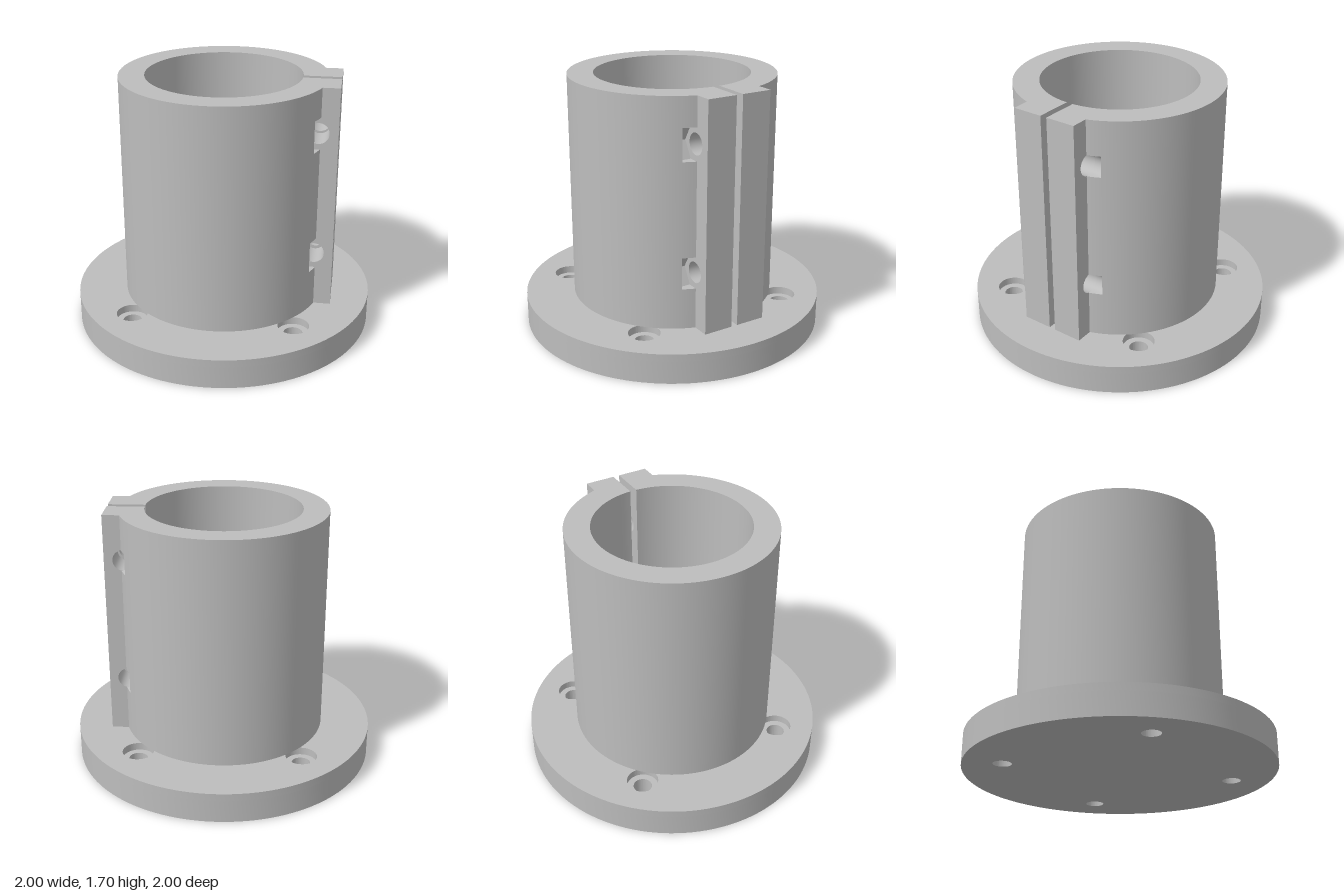
import * as THREE from 'three';
import { toCreasedNormals } from 'three/addons/utils/BufferGeometryUtils.js';

const R_OUT = 0.675, R_IN = 0.507, BASE_H = 0.2, TOP = 1.7;
const SLIT = 0.022, EAR_Z = 0.22, POCKET_Z = 0.3, EAR_X = 0.75;
const BOLT_X = 0.625, BOLT_R = 0.069, BOLT_YS = [0.576, 1.404];
const INNER = 0.46, OUTER = 0.62; // edges that get bent onto the inner and outer cylinders

export function createModel() {
  const model = new THREE.Group();
  const grey = new THREE.MeshStandardMaterial({ color: 0xbdbdbd });
  grey.name = 'plain grey';

  const add = (name, geometry) => {
    const mesh = new THREE.Mesh(toCreasedNormals(geometry, 0.5), grey);
    mesh.name = name;
    model.add(mesh);
  };
  const circle = (x, y, r) => new THREE.Path().absarc(x, y, r, 0, Math.PI * 2, true);

  // Extrude a plan shape upwards from y0 to y1
  const upright = (shape, y0, y1, curveSegments) =>
    new THREE.ExtrudeGeometry(shape, { depth: y1 - y0, bevelEnabled: false, curveSegments })
      .rotateX(-Math.PI / 2).translate(0, y0, 0);

  // Extrude an elevation shape along z, bending its marked edges onto the cylinders
  const bentBlock = (shape, z0, z1) => {
    const g = new THREE.ExtrudeGeometry(shape,
      { depth: z1 - z0, steps: 8, bevelEnabled: false, curveSegments: 20 }).translate(0, 0, z0);
    const p = g.attributes.position;
    for (let i = 0; i < p.count; i++) {
      const x = p.getX(i), z = p.getZ(i);
      if (Math.abs(x - INNER) < 1e-5) p.setX(i, Math.sqrt(R_IN ** 2 - z * z));
      if (Math.abs(x - OUTER) < 1e-5) p.setX(i, Math.sqrt(R_OUT ** 2 - z * z));
    }
    return g;
  };

  // Round flange with four counterbored screw holes
  const flange = (holeR) => {
    const s = new THREE.Shape().absarc(0, 0, 1, 0, Math.PI * 2, false);
    for (const x of [-0.53, 0.53]) for (const z of [-0.53, 0.53]) s.holes.push(circle(x, z, holeR));
    return s;
  };
  add('flangeLower', upright(flange(0.06), 0, BASE_H - 0.05, 64));
  add('flangeUpper', upright(flange(0.102), BASE_H - 0.05, BASE_H, 64));

  // Tube wall, open on the clamp side
  const a = Math.asin(POCKET_Z / R_OUT), b = Math.asin(POCKET_Z / R_IN);
  const wall = new THREE.Shape();
  wall.absarc(0, 0, R_OUT, a, Math.PI * 2 - a, false);
  wall.absarc(0, 0, R_IN, Math.PI * 2 - b, b, true);
  wall.closePath();
  add('tubeWall', upright(wall, BASE_H, TOP, 80));

  // Clamp ears on both sides of the slit, with bolt holes
  const ear = new THREE.Shape();
  ear.moveTo(INNER, BASE_H).lineTo(EAR_X, BASE_H).lineTo(EAR_X, TOP).lineTo(INNER, TOP).closePath();
  for (const y of BOLT_YS) ear.holes.push(circle(BOLT_X, y, BOLT_R));
  add('frontEar', bentBlock(ear, SLIT, EAR_Z));
  add('backEar', bentBlock(ear, -EAR_Z, -SLIT));

  // Wall strips beside the ears, notched by the nut and bolt-head pockets
  const strip = (notch) => {
    const s = new THREE.Shape();
    s.moveTo(INNER, BASE_H).lineTo(OUTER, BASE_H);
    for (const y of BOLT_YS) for (const [dx, dy] of notch) s.lineTo(dx, y + dy);
    s.lineTo(OUTER, TOP).lineTo(INNER, TOP).closePath();
    return s;
  };
  const hexNotch = [[OUTER, -0.105], [0.569, -0.105], [0.508, 0], [0.569, 0.105], [OUTER, 0.105]];
  const start = Math.acos((0.6 - BOLT_X) / BOLT_R), roundNotch = [];
  for (let i = 0; i <= 14; i++) {
    const t = -start - (i / 14) * (2 * Math.PI - 2 * start);
    roundNotch.push([BOLT_X + BOLT_R * Math.cos(t), BOLT_R * Math.sin(t)]);
  }
  roundNotch.unshift([OUTER, -BOLT_R]);
  roundNotch.push([OUTER, BOLT_R]);
  add('nutPocketStrip', bentBlock(strip(hexNotch), EAR_Z, POCKET_Z));
  add('boltPocketStrip', bentBlock(strip(roundNotch), -POCKET_Z, -EAR_Z));

  return model;
}
